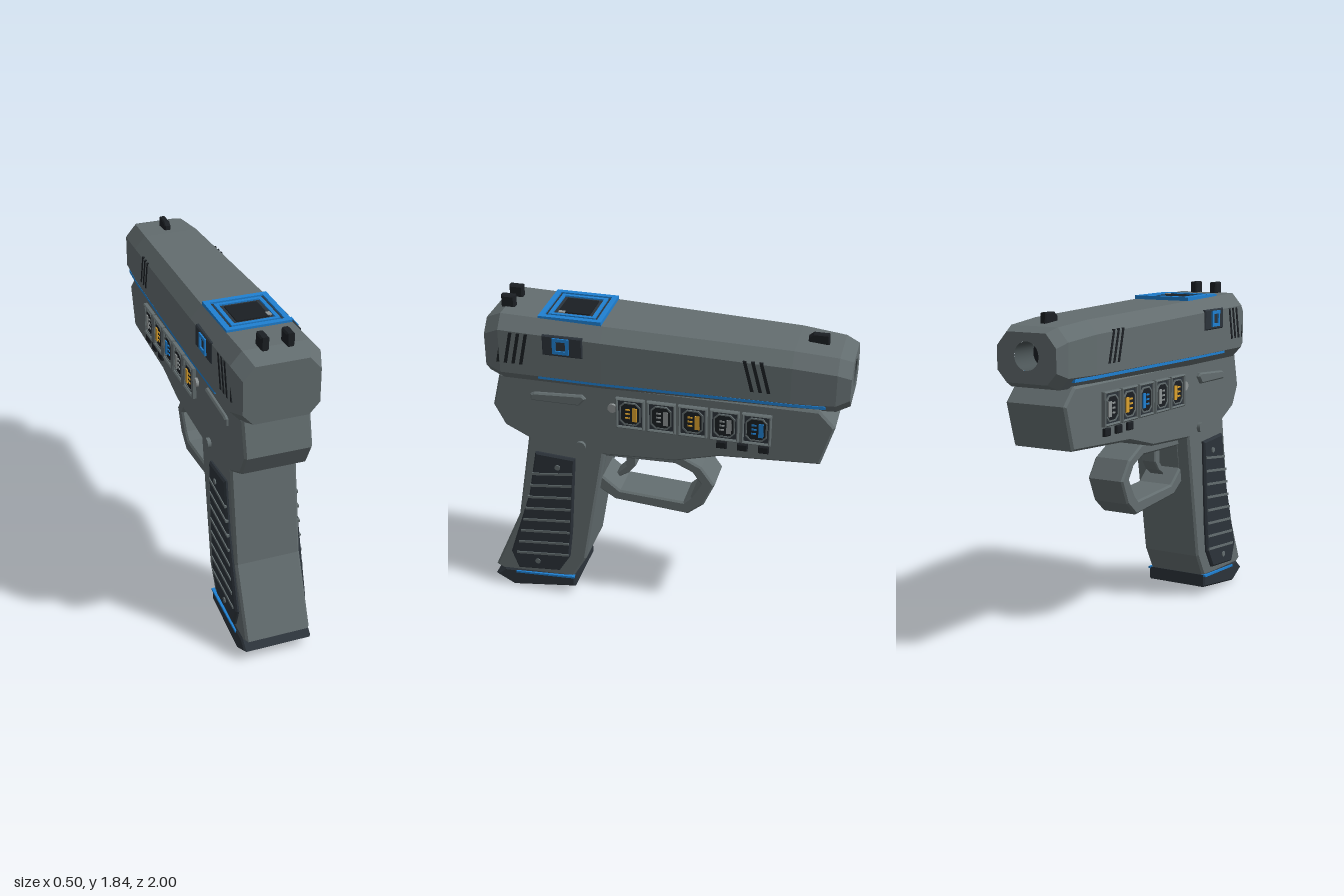
import * as THREE from 'three';

const mat = (name, color, side = THREE.FrontSide) => {
  const m = new THREE.MeshStandardMaterial({ color, side });
  m.name = name;
  return m;
};

export function createModel() {
  const M = {
    body: mat('gunmetal grey', 0x636d6f),
    dark: mat('dark slate', 0x2c333a),
    black: mat('near black', 0x1b1f23),
    blue: mat('blue accent', 0x1f80d2),
    amber: mat('amber', 0xdca22e),
    silver: mat('light grey', 0x8d9394),
    bore: mat('bore grey', 0x4b5456, THREE.DoubleSide),
  };
  const root = new THREE.Group();
  root.name = 'blaster';
  const add = (name, geo, m, parent = root) => {
    const mesh = new THREE.Mesh(geo, m);
    mesh.name = name;
    parent.add(mesh);
    return mesh;
  };
  const group = (name, parent = root) => {
    const g = new THREE.Group();
    g.name = name;
    parent.add(g);
    return g;
  };
  const shapeOf = pts => new THREE.Shape(pts.map(p => new THREE.Vector2(p[0], p[1])));
  const rect = (u, v, w, h) => [[u - w / 2, v - h / 2], [u + w / 2, v - h / 2], [u + w / 2, v + h / 2], [u - w / 2, v + h / 2]];
  const cutRect = (u, v, w, h, c) => [[u - w / 2 + c, v - h / 2], [u + w / 2 - c, v - h / 2], [u + w / 2, v - h / 2 + c],
    [u + w / 2, v + h / 2 - c], [u + w / 2 - c, v + h / 2], [u - w / 2 + c, v + h / 2], [u - w / 2, v + h / 2 - c], [u - w / 2, v - h / 2 + c]];

  // Extrudes a (z, y) outline across x, from x0 to x1
  const slab = (pts, x0, x1, bevel = 0, hole = null) => {
    const s = shapeOf(pts);
    if (hole) s.holes.push(new THREE.Path(hole.map(p => new THREE.Vector2(p[0], p[1]))));
    const depth = Math.abs(x1 - x0) - 2 * bevel;
    const g = new THREE.ExtrudeGeometry(s, {
      depth, bevelEnabled: bevel > 0, bevelSize: bevel, bevelThickness: bevel, bevelOffset: -bevel, bevelSegments: 1, curveSegments: 1,
    });
    return g.translate(0, 0, -depth / 2).rotateY(-Math.PI / 2).translate((x0 + x1) / 2, 0, 0);
  };

  // Slide: octagonal sections lofted along z [z, half width, bottom, top]
  const stations = [[-1, 0.175, 1.44, 1.69], [-0.93, 0.198, 1.41, 1.715], [-0.7, 0.213, 1.405, 1.735],
    [0.3, 0.232, 1.4, 1.764], [0.86, 0.232, 1.4, 1.778], [0.95, 0.2, 1.42, 1.73]];
  const octagon = ([, w, b, t]) => {
    const half = [[w - 0.055, b], [w, b + 0.06], [w, t - 0.07], [w - 0.06, t]];
    return [...half, ...half.map(([x, y]) => [-x, y]).reverse()];
  };
  const halfWidth = z => {
    const i = Math.max(1, stations.findIndex(s => s[0] >= z));
    const [a, b] = [stations[i - 1], stations[i]];
    return a[1] + (b[1] - a[1]) * (z - a[0]) / (b[0] - a[0]);
  };
  const slide = group('slide');
  const pos = [];
  for (let i = 0; i + 1 < stations.length; i++) {
    const A = octagon(stations[i]), B = octagon(stations[i + 1]);
    for (let j = 0; j < 8; j++) {
      const k = (j + 1) % 8;
      const [a, b, c, d] = [[...A[j], stations[i][0]], [...A[k], stations[i][0]], [...B[k], stations[i + 1][0]], [...B[j], stations[i + 1][0]]];
      pos.push(...a, ...b, ...c, ...a, ...c, ...d);
    }
  }
  const loft = new THREE.BufferGeometry();
  loft.setAttribute('position', new THREE.Float32BufferAttribute(pos, 3));
  loft.computeVertexNormals();
  add('slideBody', loft, M.body, slide);
  add('slideRear', new THREE.ShapeGeometry(shapeOf(octagon(stations[5]))).translate(0, 0, 0.95), M.body, slide);

  // Muzzle face with an open bore
  const face = shapeOf(octagon(stations[0]));
  face.holes.push(new THREE.Path().absarc(0, 1.575, 0.072, 0, Math.PI * 2, true));
  add('muzzleFace', new THREE.ShapeGeometry(face, 24).rotateY(Math.PI).translate(0, 0, -1), M.body, slide);
  add('bore', new THREE.CylinderGeometry(0.072, 0.072, 0.16, 32, 1, true).rotateX(Math.PI / 2).translate(0, 1.575, -0.92), M.bore, slide);
  add('boreEnd', new THREE.CircleGeometry(0.072, 32).rotateY(Math.PI).translate(0, 1.575, -0.84), M.black, slide);

  // Blue light line running round the lower slide
  const edge = [-0.88, -0.7, 0.3, 0.65].map(z => [halfWidth(z) - 0.001, -z]);
  const line = shapeOf([...edge, ...edge.map(([x, z]) => [-x, z]).reverse()]);
  add('lightLine', new THREE.ExtrudeGeometry(line, { depth: 0.016, bevelEnabled: false }).rotateX(-Math.PI / 2).translate(0, 1.445, 0), M.blue, slide);

  // Sights
  for (const s of [-1, 1]) add('rearSight', slab(rect(0.848, 1.805, 0.075, 0.07), s * 0.065 - 0.022, s * 0.065 + 0.022, 0.008), M.black, slide);
  add('frontSight', slab([[-0.86, 1.71], [-0.75, 1.71], [-0.75, 1.755], [-0.775, 1.775], [-0.855, 1.775]], -0.018, 0.018, 0.006), M.black, slide);

  // Top display: nested square rings around a dark screen
  const display = group('topDisplay', slide);
  const tile = (name, outer, inner, top, m) => {
    const s = shapeOf(rect(0, 0, outer * 2, outer * 2));
    if (inner) s.holes.push(new THREE.Path(rect(0, 0, inner * 2, inner * 2).map(p => new THREE.Vector2(...p))));
    add(name, new THREE.ExtrudeGeometry(s, { depth: top - 1.755, bevelEnabled: false }).rotateX(-Math.PI / 2).translate(0, 1.755, 0.482), m, display);
  };
  tile('displayBase', 0.145, 0, 1.776, M.dark);
  tile('outerRing', 0.172, 0.143, 1.785, M.blue);
  tile('innerRing', 0.128, 0.108, 1.784, M.blue);
  tile('screen', 0.087, 0, 1.782, M.black);
  add('screenMark', new THREE.BoxGeometry(0.022, 0.006, 0.035).translate(0.09, 1.783, 0.547), M.silver, display);

  // Frame and grip
  add('frame', slab([[0.89, 1.42], [0.937, 1.22], [0.875, 1.1], [0.745, 1.035], [0.83, 0.51], [0.997, 0.125], [0.94, 0.095], [0.52, 0.12],
    [0.44, 0.26], [0.345, 0.81], [0.315, 0.985], [-0.085, 1.005], [-0.33, 1.07], [-0.87, 1.1], [-0.937, 1.33], [-0.85, 1.42]],
  -0.18, 0.18, 0.012), M.body);
  add('basePlate', slab([[1, 0.065], [0.94, 0.115], [0.51, 0.128], [0.508, 0.055], [0.89, 0.003]], -0.19, 0.19, 0.01), M.dark);

  // Trigger and guard
  add('triggerGuard', slab([[0.33, 1], [-0.08, 1.01], [-0.22, 0.94], [-0.295, 0.835], [-0.235, 0.7], [-0.145, 0.625], [0.275, 0.658], [0.38, 0.725]],
    -0.11, 0.11, 0.01, [[0.32, 0.935], [-0.07, 0.945], [-0.17, 0.9], [-0.215, 0.835], [-0.16, 0.74], [-0.12, 0.7], [0.245, 0.72], [0.345, 0.8]]), M.body);
  add('trigger', slab([[0.222, 0.96], [0.17, 0.96], [0.167, 0.86], [0.21, 0.805], [0.265, 0.77], [0.28, 0.795], [0.225, 0.85]], -0.045, 0.045, 0.006), M.body);

  // Details on both sides
  const cells = { [-1]: ['amber', 'silver', 'blue', 'amber', 'silver'], 1: ['amber', 'silver', 'amber', 'silver', 'blue'] };
  for (const s of [-1, 1]) {
    const side = group(s > 0 ? 'leftDetails' : 'rightDetails');
    const plate = (name, pts, x0, x1, m, bevel = 0, hole = null) => add(name, slab(pts, s * x0, s * x1, bevel, hole), m, side);
    const pin = (name, z, y, r, x, m) => add(name, new THREE.CylinderGeometry(r, r, 0.03, 20).rotateZ(Math.PI / 2).translate(s * (x - 0.015), y, z), m, side);

    // Grip panel with ridges and screws
    plate('gripPanel', [[0.705, 0.957], [0.475, 0.942], [0.51, 0.445], [0.532, 0.27], [0.6, 0.16], [0.85, 0.138], [0.89, 0.25], [0.755, 0.675]], 0.165, 0.2, M.dark, 0.01);
    for (let i = 0; i < 8; i++) {
      const y = 0.815 - i * 0.08, z0 = 0.728 + i * 0.018, z1 = 0.493 + i * 0.0065;
      plate('gripRidge', [[z0, y - 0.007], [z1, y + 0.022], [z1, y + 0.036], [z0, y + 0.007]], 0.19, 0.205, M.body);
    }
    pin('gripScrew', 0.577, 0.878, 0.016, 0.206, M.body);
    pin('gripScrew', 0.727, 0.212, 0.016, 0.206, M.body);
    plate('baseLight', [[0.87, 0.098], [0.51, 0.117], [0.51, 0.129], [0.87, 0.11]], 0.17, 0.196, M.blue);

    // Slide serrations
    const slot = (z, lean, y0, y1) => {
      const x = halfWidth(z);
      plate('serration', [[z - 0.009, y0], [z + 0.009, y0], [z + 0.009 + lean, y1], [z - 0.009 + lean, y1]], x - 0.02, x + 0.003, M.black);
    };
    for (let i = 0; i < 4; i++) slot(0.87 - i * 0.043, -0.037, 1.52, 1.7);
    for (let i = 0; i < 3; i++) slot(-0.502 - i * 0.043, 0.045, 1.51, 1.68);

    // Side indicator
    plate('indicatorPanel', rect(0.505, 1.652, 0.22, 0.115), 0.2, 0.24, M.dark, 0.006);
    plate('indicatorRing', rect(0.512, 1.656, 0.09, 0.09), 0.22, 0.248, M.blue, 0, rect(0.512, 1.656, 0.054, 0.054));

    // Power cells
    cells[s].forEach((colour, i) => {
      const z = 0.155 - i * 0.171, y = 1.275;
      plate('cellFrame', rect(z, y, 0.157, 0.18), 0.17, 0.205, M.body, 0.006, rect(z, y, 0.132, 0.155));
      plate('cellBack', rect(z, y, 0.136, 0.16), 0.17, 0.19, M.dark);
      plate('cellRim', cutRect(z, y, 0.114, 0.136, 0.025), 0.18, 0.198, M.body, 0, cutRect(z, y, 0.1, 0.122, 0.022));
      plate('cellCore', cutRect(z, y, 0.1, 0.122, 0.022), 0.18, 0.194, M.black);
      plate('cellBar', rect(z - 0.025, y - 0.003, 0.026, 0.08), 0.18, 0.2, M[colour]);
      for (let k = -1; k <= 1; k++) plate('cellDash', rect(z + 0.013, y + k * 0.025, 0.026, 0.009), 0.18, 0.198, M[colour]);
    });
    for (const z of [-0.345, -0.457, -0.57]) plate('button', rect(z, 1.155, 0.056, 0.042), 0.17, 0.198, M.black, 0.005);

    // Slide catch and pins
    plate('slideCatch', [[0.712, 1.287], [0.44, 1.287], [0.402, 1.33], [0.42, 1.35], [0.69, 1.335], [0.712, 1.325]], 0.165, 0.2, M.body, 0.008);
    pin('pin', 0.255, 1.295, 0.025, 0.195, M.silver);
    pin('pin', 0.44, 1.032, 0.028, 0.2, M.body);
  }
  return root;
}
